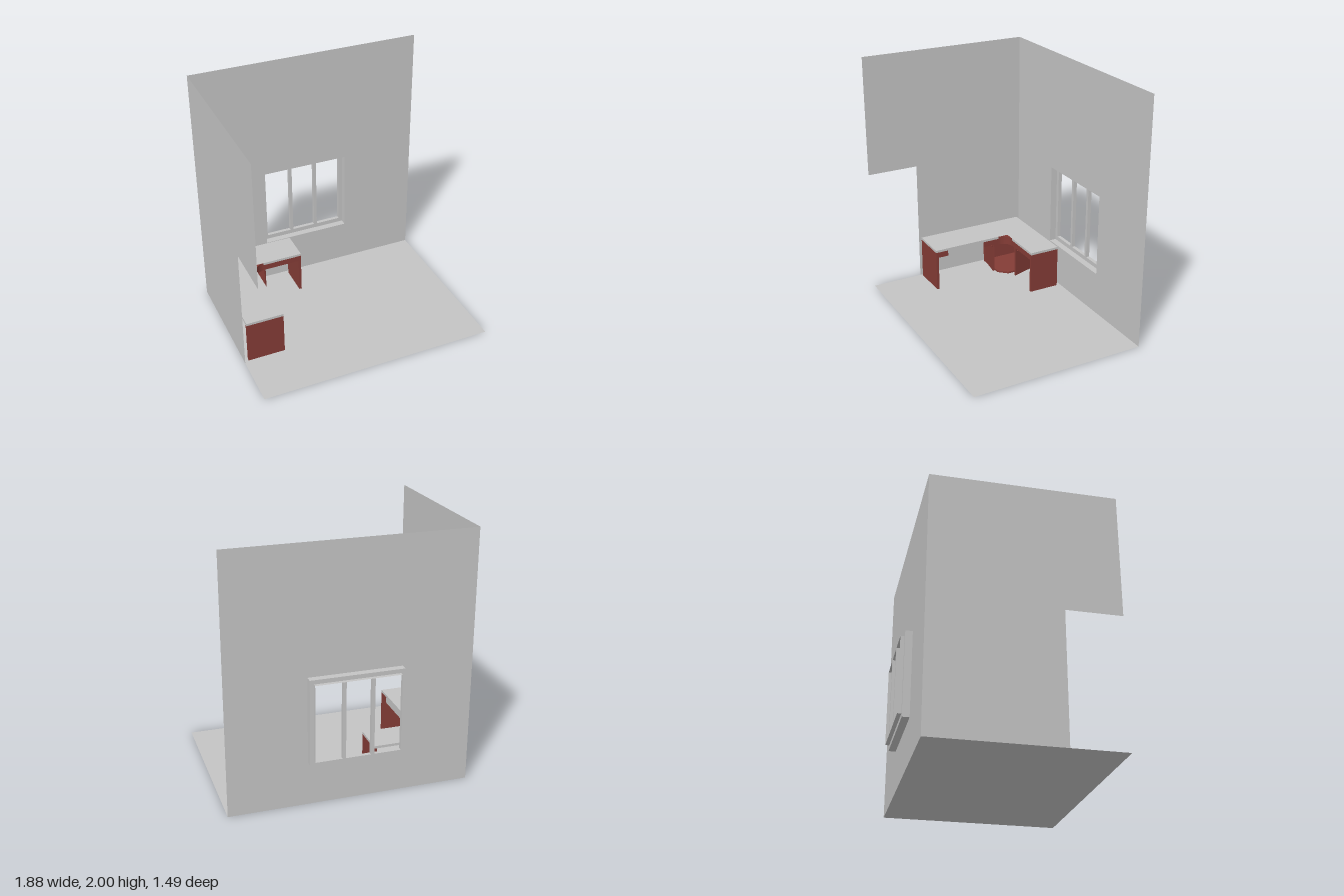
import * as THREE from 'three';

export function createModel() {
  const root = new THREE.Group();
  root.name = 'roomCorner';

  const grey = new THREE.MeshStandardMaterial({ color: 0xc4c4c4, side: THREE.DoubleSide });
  grey.name = 'plainGrey';
  const wood = new THREE.MeshStandardMaterial({ color: 0x843c36, side: THREE.DoubleSide });
  wood.name = 'redWood';

  const group = (name) => {
    const g = new THREE.Group();
    g.name = name;
    root.add(g);
    return g;
  };
  const add = (parent, name, geometry, material) => {
    const m = new THREE.Mesh(geometry, material);
    m.name = name;
    parent.add(m);
    return m;
  };
  // Box given by its lower and upper limits on each axis
  const box = (parent, name, material, [x0, x1], [y0, y1], [z0, z1]) =>
    add(parent, name, new THREE.BoxGeometry(x1 - x0, y1 - y0, z1 - z0)
      .translate((x0 + x1) / 2, (y0 + y1) / 2, (z0 + z1) / 2), material);
  const points = (list) => list.map(([x, y]) => new THREE.Vector2(x, y));
  const rect = ([x0, x1], [y0, y1]) => points([[x0, y0], [x1, y0], [x1, y1], [x0, y1]]);
  // Flat rectangle in XY with an optional rectangular hole
  const sheet = (xs, ys, hole) => {
    const s = new THREE.Shape(rect(xs, ys));
    if (hole) s.holes.push(new THREE.Path(rect(...hole)));
    return new THREE.ShapeGeometry(s);
  };
  // Plan outline (drawn as x, -z) raised from y0 to y1
  const slab = (shape, y0, y1) =>
    new THREE.ExtrudeGeometry(shape, { depth: y1 - y0, bevelEnabled: false, curveSegments: 10 })
      .rotateX(-Math.PI / 2).translate(0, y0, 0);
  const plan = (list) => new THREE.Shape(points(list.map(([x, z]) => [x, -z])));

  // Room shell: floor, back wall with a window opening, stepped side wall
  const W = 0.94, zBack = -0.66, zFront = 0.745;
  const outer = [[-0.385, 0.333], [0.345, 1.015]];
  const inner = [[-0.355, 0.302], [0.38, 0.983]];
  const room = group('room');
  add(room, 'floor', new THREE.PlaneGeometry(2 * W, zFront - zBack)
    .rotateX(-Math.PI / 2).translate(0, 0, (zFront + zBack) / 2), grey);
  add(room, 'backWall', sheet([-W, W], [0, 2], outer), grey).position.z = zBack;
  const side = new THREE.Shape(points([
    [zBack, 0], [0.32, 0], [0.32, 1.015], [zFront, 1.015], [zFront, 2], [zBack, 2],
  ]));
  add(room, 'sideWall', new THREE.ShapeGeometry(side).rotateY(-Math.PI / 2), grey).position.x = -W;

  // Window: outer reveal, rear rim, sash and two mullions
  const win = group('window');
  const tunnel = (name, [[x0, x1], [y0, y1]], z0, z1) => {
    const d = z1 - z0, zc = (z0 + z1) / 2;
    for (const x of [x0, x1]) {
      add(win, name + 'Side', new THREE.PlaneGeometry(d, y1 - y0).rotateY(Math.PI / 2), grey)
        .position.set(x, (y0 + y1) / 2, zc);
    }
    for (const y of [y0, y1]) {
      add(win, name + 'Ledge', new THREE.PlaneGeometry(x1 - x0, d).rotateX(Math.PI / 2), grey)
        .position.set((x0 + x1) / 2, y, zc);
    }
  };
  tunnel('reveal', outer, -0.715, zBack);
  tunnel('sash', inner, -0.745, -0.715);
  add(win, 'rim', sheet(...outer, inner), grey).position.z = -0.715;
  for (const x of [-0.148, 0.07]) {
    box(win, 'mullion', grey, [x, x + 0.026], inner[1], [-0.745, -0.715]);
  }

  // Corner desk: L-shaped top, two end panels and aprons
  const x0 = -0.908, x1 = -0.61, xEnd = -0.195;
  const z0 = -0.62, z1 = -0.365, zEnd = 0.31;
  const desk = group('desk');
  add(desk, 'deskTop', slab(plan([
    [x0, z0], [xEnd, z0], [xEnd, z1], [x1, z1], [x1, zEnd], [x0, zEnd],
  ]), 0.35, 0.37), grey);
  box(desk, 'frontEndPanel', wood, [x0, x1], [0.01, 0.35], [zEnd - 0.022, zEnd]);
  box(desk, 'rightEndPanel', wood, [xEnd - 0.022, xEnd], [0.01, 0.35], [z0, z1]);
  box(desk, 'backApron', wood, [-0.61, xEnd - 0.022], [0.302, 0.35], [z1 - 0.02, z1]);
  box(desk, 'sideApron', wood, [x1 - 0.02, x1], [0.302, 0.35], [0.2, zEnd - 0.022]);
  box(desk, 'sideApron', wood, [x1 - 0.02, x1], [0.302, 0.35], [z1, -0.135]);
  box(desk, 'drawer', grey, [x0 + 0.05, x1], [0.302, 0.35], [-0.135, 0.2]);

  // Concave filler in the inner corner of the desk
  const fillet = new THREE.Shape();
  fillet.moveTo(x1, -z1);
  fillet.lineTo(x1, 0.28);
  fillet.absarc(-0.525, 0.28, 0.085, Math.PI, Math.PI / 2, true);
  add(desk, 'cornerFiller', slab(fillet, 0.298, 0.37), wood);

  // Corner cabinet under the desk
  const cab = group('cornerCabinet');
  const cx = -0.58, cz = -0.287;
  const outline = plan([[x0, z0], [cx, z0], [cx, -0.56], [-0.85, cz], [x0, cz]]);
  const base = plan([[x0, z0], [cx, z0], [cx, -0.36], [-0.65, cz], [x0, cz]]);
  add(cab, 'base', slab(base, 0.01, 0.025), wood);
  add(cab, 'ceiling', slab(outline, 0.288, 0.302), wood);
  box(cab, 'backPanel', wood, [x0, cx], [0.025, 0.3], [z0, z0 + 0.012]);
  box(cab, 'sidePanel', wood, [x0, x0 + 0.012], [0.025, 0.3], [z0, cz]);
  box(cab, 'rightJamb', wood, [cx - 0.015, cx], [0.025, 0.3], [z0, -0.55]);
  box(cab, 'leftJamb', wood, [x0, -0.84], [0.025, 0.3], [cz - 0.015, cz]);

  // Open doors, each from its hinge to its free edge, with a knob
  const door = (name, [hx, hz], [ex, ez], knobSide) => {
    const g = new THREE.Group();
    g.name = name;
    const len = Math.hypot(ex - hx, ez - hz);
    box(g, 'doorPanel', wood, [0, len], [0.02, 0.287], [-0.006, 0.006]);
    add(g, 'knob', new THREE.SphereGeometry(0.007, 10, 8), wood)
      .position.set(len - 0.02, 0.255, knobSide * 0.011);
    g.position.set(hx, 0, hz);
    g.rotation.y = -Math.atan2(ez - hz, ex - hx);
    cab.add(g);
  };
  door('leftDoor', [-0.875, -0.292], [-0.67, -0.262], 1);
  door('rightDoor', [-0.567, -0.575], [-0.506, -0.385], -1);

  return root;
}
